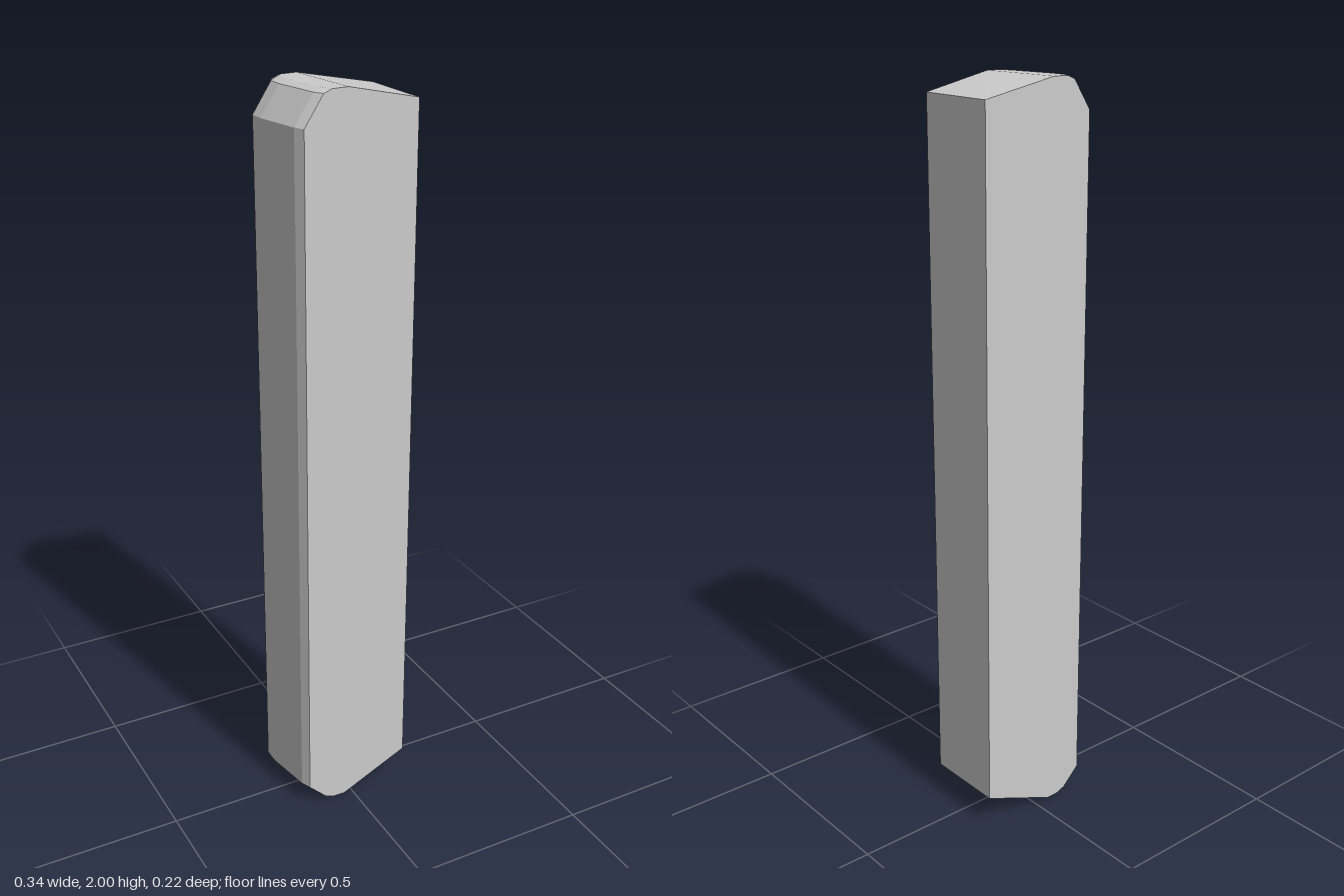
import * as THREE from 'three';
import { ConvexGeometry } from 'three/addons/geometries/ConvexGeometry.js';

// Depth slices of the bar: [z, x of the bevelled long edge]
const SLICES = [
  [-0.112, -0.157],
  [-0.09, -0.17],
  [-0.045, -0.17],
  [0.085, -0.147],
  [0.112, -0.135],
];

// Outline of one slice whose bevelled edge lies at x = left
function outline(left) {
  return [
    [left, 0.06], [left + 0.05, 0.011], [left + 0.075, 0.001], [left + 0.11, 0], // lower rounded corner
    [0.168, 0.09], [0.168, 1.96], // straight side between the sloping ends
    [left + 0.115, 2], [left + 0.072, 1.999], [left + 0.05, 1.99], [left, 1.915], // upper rounded corner
  ];
}

export function createModel() {
  const group = new THREE.Group();
  group.name = 'bevelledBar';

  // Solid hull wrapped round all slices
  const points = SLICES.flatMap(([z, left]) =>
    outline(left).map(([x, y]) => new THREE.Vector3(x, y, z)));
  const material = new THREE.MeshStandardMaterial({ color: 0xcccccc, flatShading: true });
  const bar = new THREE.Mesh(new ConvexGeometry(points), material);
  bar.name = 'bar';
  group.add(bar);

  return group;
}
